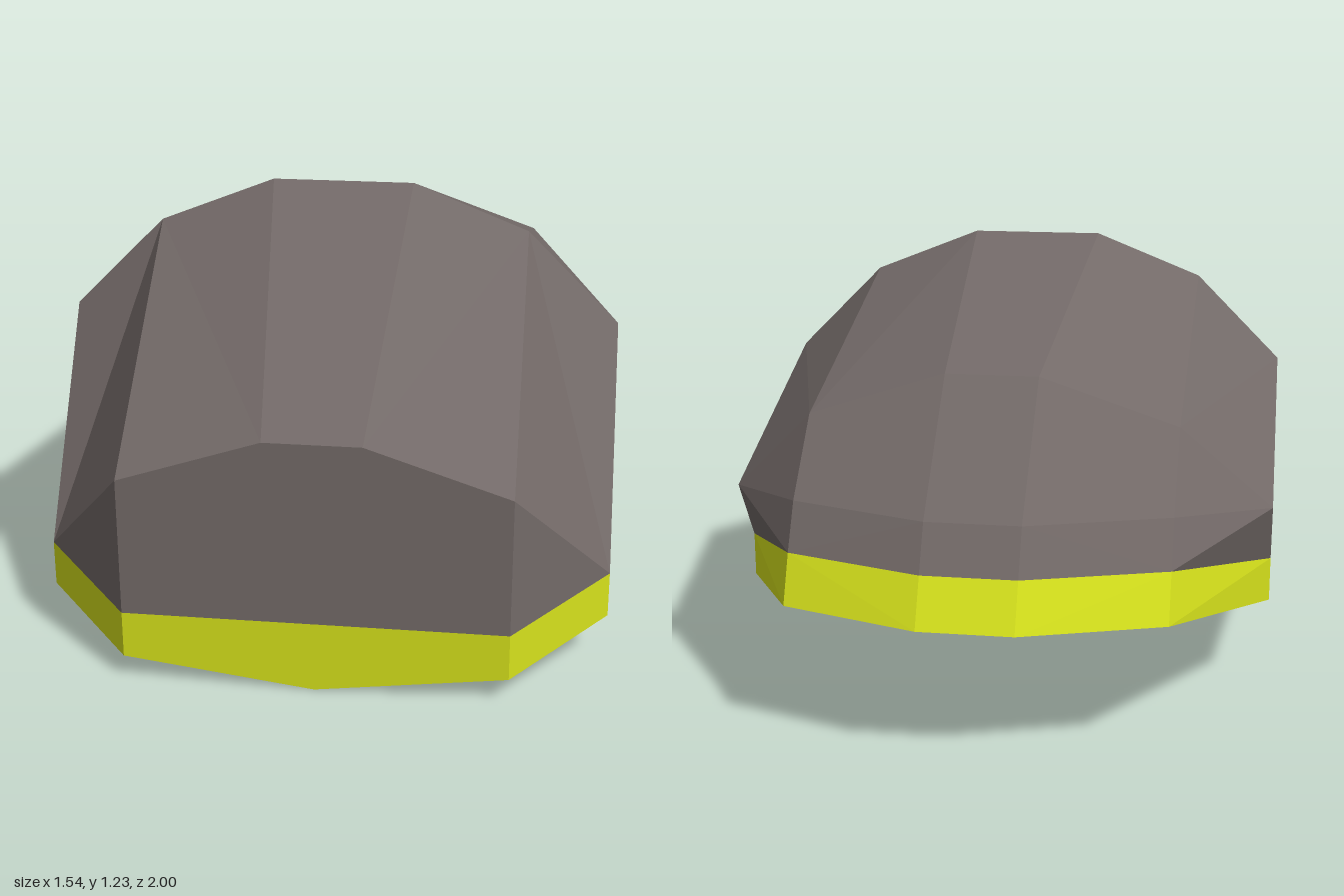
import * as THREE from 'three';

// Faceted open sheet: each face is listed counter-clockwise on the left (+x) half and mirrored.
function mirroredSheet(name, faces, color) {
  const positions = [];
  for (const face of faces) {
    for (let i = 1; i < face.length - 1; i++) {
      const tri = [face[0], face[i], face[i + 1]];
      tri.forEach(([x, y, z]) => positions.push(x, y, z));
      tri.reverse().forEach(([x, y, z]) => positions.push(-x, y, z));
    }
  }
  const geometry = new THREE.BufferGeometry();
  geometry.setAttribute('position', new THREE.Float32BufferAttribute(positions, 3));
  geometry.computeVertexNormals();
  const material = new THREE.MeshStandardMaterial({ color, flatShading: true, side: THREE.DoubleSide });
  const mesh = new THREE.Mesh(geometry, material);
  mesh.name = name;
  return mesh;
}

// Quads joining two matching rows of points
function strip(a, b) {
  return a.slice(1).map((_, i) => [a[i], b[i], b[i + 1], a[i + 1]]);
}

export function createModel() {
  const group = new THREE.Group();
  group.name = 'facetedShell';

  // Lengthwise rows over the top, front to back
  const crown = [[0.13, 0.71, 1], [0.195, 1.225, 0.355], [0.13, 0.967, -0.55], [0.13, 0.645, -0.87], [0.13, 0.52, -0.935]];
  const middle = crown.map(([, y, z]) => [0, y, z]);
  const shoulder = [[0.515, 0.583, 1], [0.515, 1.098, 0.355], [0.515, 0.84, -0.55], [0.515, 0.645, -0.74], [0.515, 0.52, -0.81]];

  // Corners of the side wall and the front wall
  const sideTop = [0.772, 0.84, 0.355];
  const sideBack = [0.772, 0.583, -0.42];
  const sideFrontRim = [0.772, 0.26, 0.742];
  const sideBackRim = [0.772, 0.39, -0.29];
  const frontRim = [0.515, 0.197, 1];
  const frontRimMiddle = [0, 0.197, 1];

  const [s0, s1, s2, s3, s4] = shoulder;
  const shellFaces = [
    ...strip(middle, crown),
    ...strip(crown, shoulder),
    // front wall
    [frontRimMiddle, frontRim, s0, crown[0], middle[0]],
    // front corner
    [s0, frontRim, sideFrontRim],
    [s0, sideFrontRim, s1],
    [s1, sideFrontRim, sideTop],
    // side wall and the slope above it
    [sideFrontRim, sideBackRim, sideBack, sideTop],
    [s1, sideTop, s2],
    [sideTop, sideBack, s2],
    // back corner
    [s2, sideBack, s3],
    [s3, sideBack, s4],
    [sideBackRim, s4, sideBack],
  ];
  group.add(mirroredSheet('shell', shellFaces, 0x736a68));

  // Bright band around the open lower edge
  const bandTop = [frontRimMiddle, frontRim, sideFrontRim, sideBackRim, s4, crown[4], middle[4]];
  const bandBottom = [
    [0, 0, 1], [0.515, 0.067, 1], [0.772, 0.132, 0.742], [0.772, 0.262, -0.29],
    [0.515, 0.39, -0.87], [0.13, 0.39, -1], [0, 0.39, -1],
  ];
  group.add(mirroredSheet('rimBand', strip(bandTop, bandBottom), 0xd6e21c));

  return group;
}
